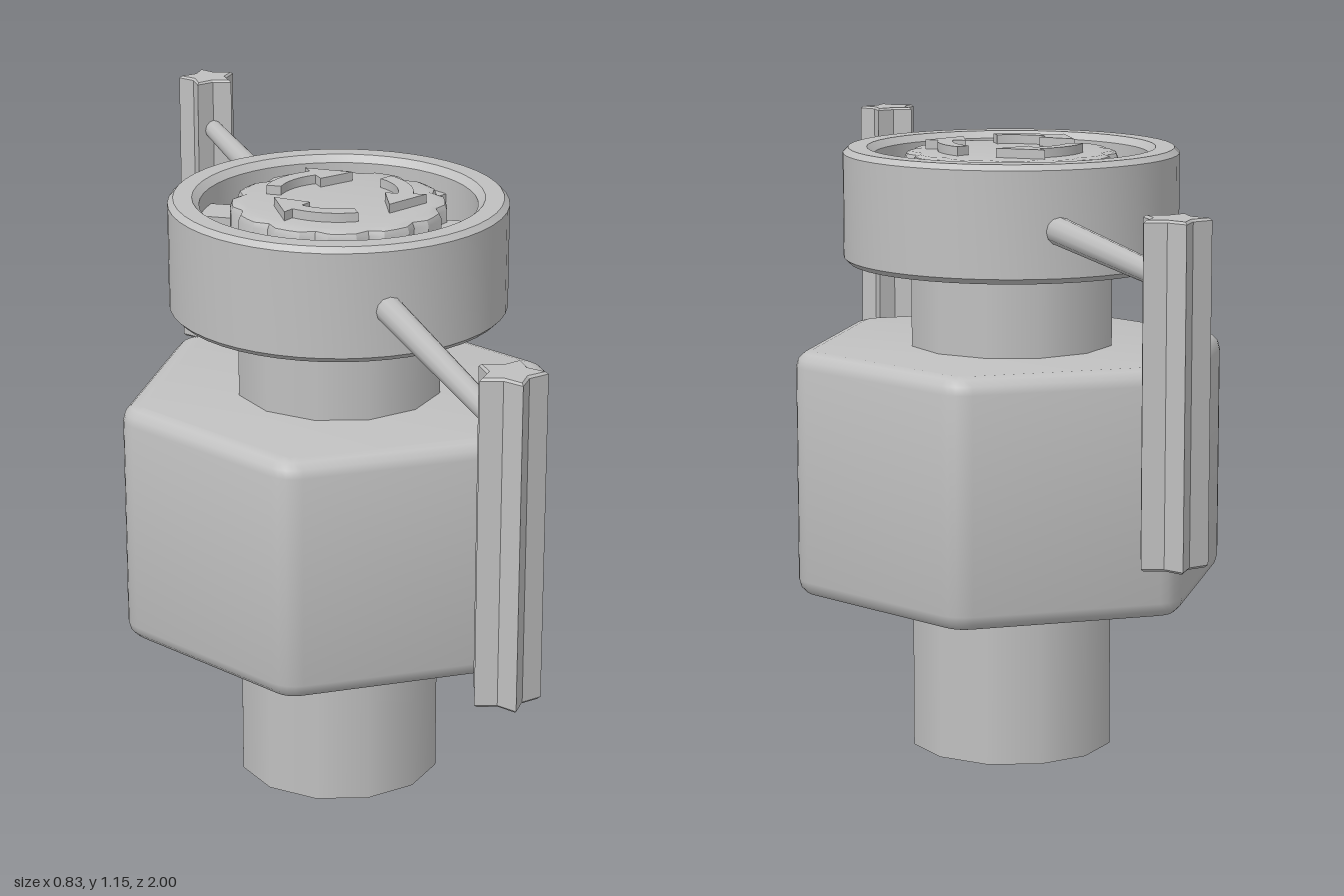
import * as THREE from 'three';
import { mergeVertices, toCreasedNormals } from 'three/addons/utils/BufferGeometryUtils.js';

export function createModel() {
  const group = new THREE.Group();
  const grey = new THREE.MeshStandardMaterial({ color: 0xc0c0c0 });
  grey.name = 'grey';
  const greyOpen = grey; // one colour everywhere
  greyOpen.side = THREE.DoubleSide;

  function add(name, geometry, parent = group) {
    const mesh = new THREE.Mesh(geometry, grey);
    mesh.name = name;
    parent.add(mesh);
    return mesh;
  }

  // Upright prism between two heights; the bevel stays inside the outline
  function prism(points, y0, y1, bevel, segments = 3, crease = 0.62) {
    const g = new THREE.ExtrudeGeometry(new THREE.Shape(points), {
      depth: y1 - y0 - 2 * bevel,
      bevelEnabled: bevel > 0, bevelThickness: bevel, bevelSize: bevel,
      bevelOffset: -bevel, bevelSegments: segments,
    });
    g.rotateX(-Math.PI / 2);
    g.translate(0, y0 + bevel, 0);
    g.deleteAttribute('uv');
    return toCreasedNormals(g, crease);
  }

  // Outline given by a radius function of the angle
  function outline(count, radius, offset = 0) {
    return Array.from({ length: count }, (_, i) => {
      const a = offset + (i / count) * Math.PI * 2;
      return new THREE.Vector2(Math.cos(a), Math.sin(a)).multiplyScalar(radius(i));
    });
  }

  // Open-ended central pipe
  const pipe = new THREE.CylinderGeometry(0.194, 0.194, 1.05, 12, 1, true);
  pipe.translate(0, 0.525, 0);
  add('pipe', pipe);

  // Rounded hexagonal body
  const hex = [];
  const cornerR = 0.06;
  const centreR = (0.367 - cornerR) / Math.cos(Math.PI / 6);
  for (let i = 0; i < 6; i++) {
    const a = (i * Math.PI) / 3;
    for (let k = -2; k <= 2; k++) {
      const b = a + (k / 2) * (Math.PI / 6);
      hex.push(new THREE.Vector2(
        centreR * Math.cos(a) + cornerR * Math.cos(b),
        centreR * Math.sin(a) + cornerR * Math.sin(b)));
    }
  }
  add('hexBody', prism(hex, 0.31, 0.775, 0.03));

  // Wheel rim with softened edges
  const rim = [
    [0.265, 0.93], [0.305, 0.93], [0.315, 0.94], [0.315, 1.135], [0.305, 1.145],
    [0.27, 1.145], [0.257, 1.132], [0.257, 0.94], [0.265, 0.93],
  ].map(([x, y]) => new THREE.Vector2(x, y));
  const rimGeo = new THREE.LatheGeometry(rim, 48);
  rimGeo.deleteAttribute('uv');
  rimGeo.deleteAttribute('normal');
  add('wheelRim', toCreasedNormals(mergeVertices(rimGeo), 0.6));

  // Six spokes joining hub and rim
  for (let i = 0; i < 6; i++) {
    const spoke = new THREE.BoxGeometry(0.1, 0.13, 0.08);
    spoke.translate(0.22, 1.035, 0);
    spoke.rotateY(Math.PI / 6 + (i * Math.PI) / 3);
    add('spoke', spoke);
  }

  // Lobed hub knob
  add('hubKnob', prism(outline(48, (i) => [0.187, 0.2, 0.2, 0.2][i % 4]), 0.95, 1.137, 0.014, 2, 0.45));

  // Three curved arrows circling on top of the knob
  const deg = Math.PI / 180;
  const polar = (r, a) => new THREE.Vector2(r * Math.cos(a * deg), r * Math.sin(a * deg));
  for (let n = 0; n < 3; n++) {
    const turn = -120 * n;
    const pts = [];
    for (let k = 0; k <= 8; k++) pts.push(polar(0.138, 148 - k * 6.5 + turn));
    pts.push(polar(0.162, 96 + turn), polar(0.124, 61 + turn), polar(0.086, 96 + turn));
    for (let k = 8; k >= 0; k--) pts.push(polar(0.11, 148 - k * 6.5 + turn));
    add('arrow', prism(pts.reverse(), 1.13, 1.154, 0));
  }

  // A tapered arm and star-section grip, front and back
  for (const side of [0, 1]) {
    const handle = new THREE.Group();
    handle.name = side ? 'backHandle' : 'frontHandle';
    handle.rotation.y = side * Math.PI;
    const arm = new THREE.CylinderGeometry(0.019, 0.026, 0.62, 12);
    arm.rotateX(Math.PI / 2);
    arm.translate(0, 1.025, 0.6);
    add('arm', arm, handle);
    const star = prism(outline(10, (i) => (i % 2 ? 0.037 : 0.061), -Math.PI / 2), 0.555, 1.13, 0.004, 1, 0.3);
    star.translate(0, 0, 0.939);
    add('starGrip', star, handle);
    group.add(handle);
  }

  return group;
}
